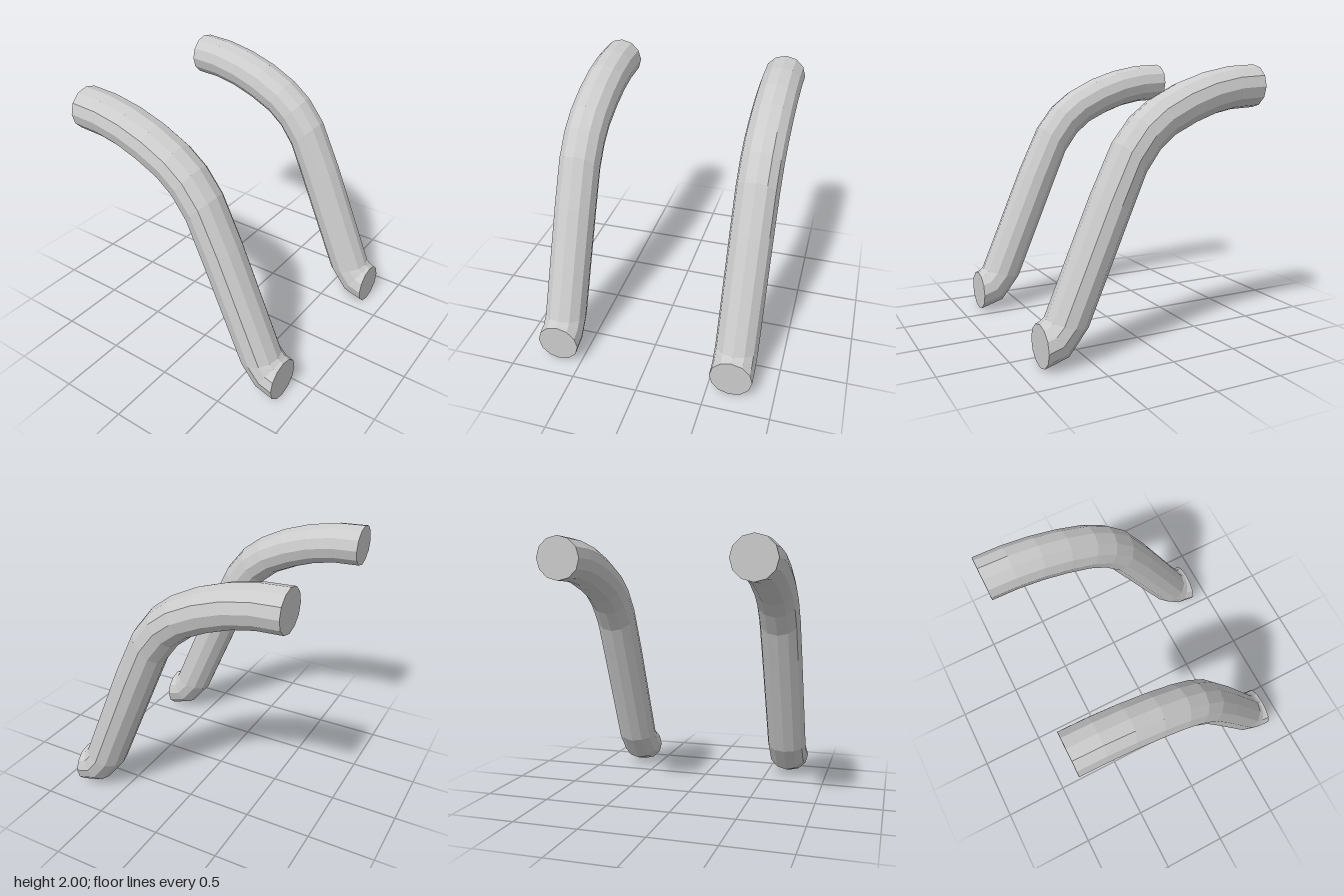
import * as THREE from 'three';

const SIDES = 12;
const HALF_WIDTH = 0.16;
// Cross-sections along the bent bar: [upper z, upper y, lower z, lower y]
const RINGS = [
  [0.845, 0.31, 0.845, 0.005],
  [0.822, 0.319, 0.66, 0.06],
  [0.80, 0.335, 0.505, 0.255],
  [0.455, 1.14, 0.175, 1.025],
  [0.285, 1.49, 0.07, 1.27],
  [0.15, 1.66, -0.035, 1.415],
  [0.0, 1.775, -0.15, 1.51],
  [-0.2, 1.875, -0.32, 1.59],
  [-0.41, 1.945, -0.49, 1.65],
  [-0.63, 1.988, -0.655, 1.683],
  [-0.845, 2.0, -0.845, 1.693],
];

// Loft a 12-sided tube through the cross-sections and cap both ends
function bentBarGeometry() {
  const positions = [];
  const index = [];
  const addRing = ([z1, y1, z2, y2]) => {
    const start = positions.length / 3;
    for (let i = 0; i < SIDES; i++) {
      const a = (i / SIDES) * Math.PI * 2;
      const t = Math.cos(a) / 2;
      positions.push(HALF_WIDTH * Math.sin(a), (y1 + y2) / 2 + (y1 - y2) * t, (z1 + z2) / 2 + (z1 - z2) * t);
    }
    return start;
  };
  const starts = RINGS.map(addRing);
  for (let r = 0; r < starts.length - 1; r++) {
    for (let i = 0; i < SIDES; i++) {
      const j = (i + 1) % SIDES;
      const a = starts[r] + i, b = starts[r] + j;
      const c = starts[r + 1] + i, d = starts[r + 1] + j;
      index.push(a, b, c, b, d, c);
    }
  }
  const last = starts[starts.length - 1];
  for (let i = 1; i < SIDES - 1; i++) {
    index.push(0, i + 1, i); // front cap
    index.push(last, last + i, last + i + 1); // back cap
  }
  const geometry = new THREE.BufferGeometry();
  geometry.setAttribute('position', new THREE.Float32BufferAttribute(positions, 3));
  geometry.setIndex(index);
  const flat = geometry.toNonIndexed();
  flat.computeVertexNormals();
  return flat;
}

export function createModel() {
  const group = new THREE.Group();
  group.name = 'bentBars';
  const material = new THREE.MeshStandardMaterial({ color: 0xcccccc, flatShading: true });
  const geometry = bentBarGeometry();
  // Matching bars on either side
  for (const [name, x] of [['leftBar', 0.677], ['rightBar', -0.677]]) {
    const bar = new THREE.Mesh(geometry, material);
    bar.name = name;
    bar.position.x = x;
    group.add(bar);
  }
  return group;
}
